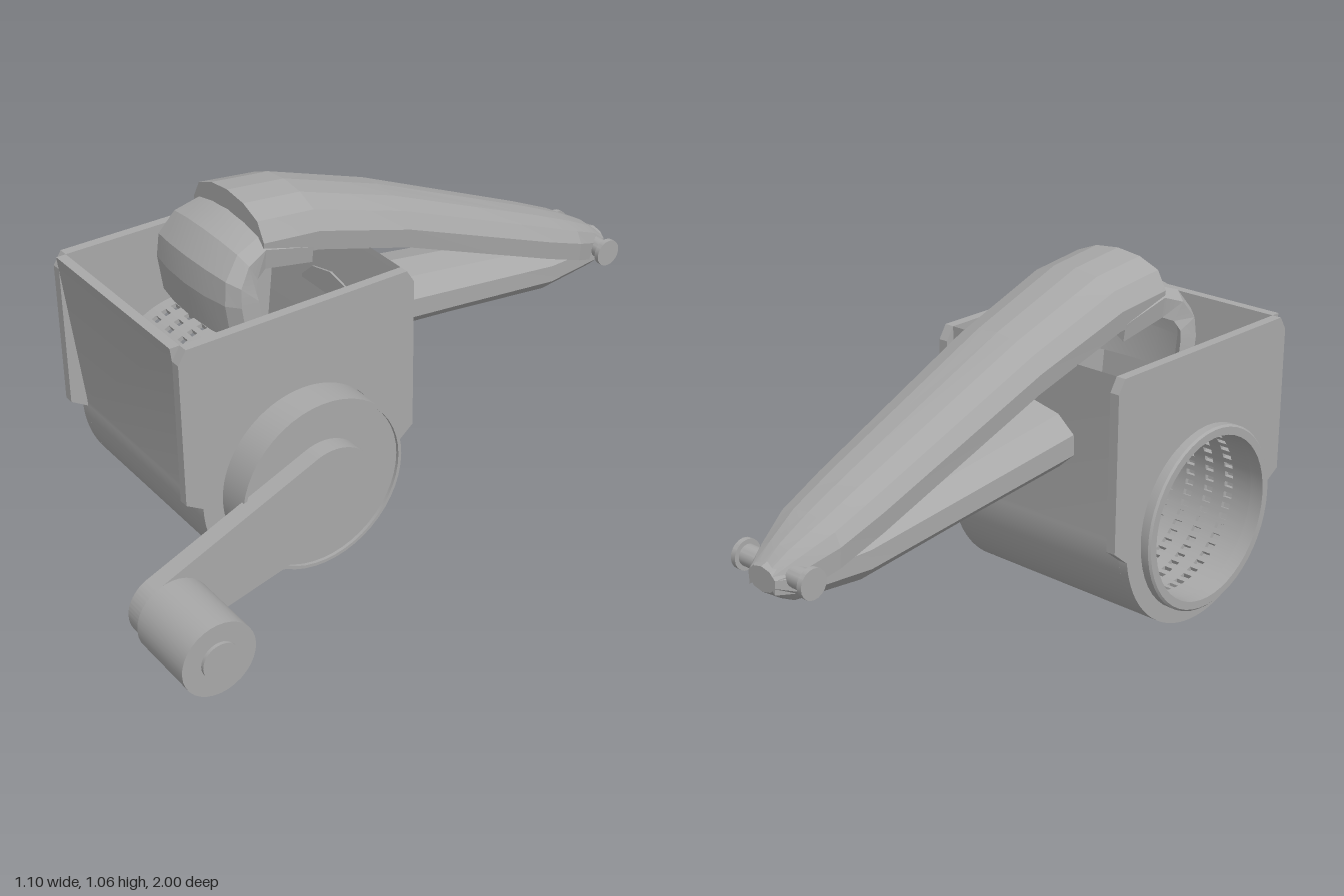
import * as THREE from 'three';
import { toCreasedNormals } from 'three/addons/utils/BufferGeometryUtils.js';

const CY = 0.328, CZ = 0.36;   // drum axis
const HX = -0.178;             // handle centre line

export function createModel() {
  const model = new THREE.Group();
  const metal = new THREE.MeshStandardMaterial({ color: 0xa8a8a8, side: THREE.DoubleSide });
  metal.name = 'grey metal';

  const add = (name, geometry, crease = 0.5) => {
    const mesh = new THREE.Mesh(toCreasedNormals(geometry, crease), metal);
    mesh.name = name;
    model.add(mesh);
    return mesh;
  };
  // extrude a (z, y) outline along x
  const extrudeX = (shape, x0, x1) =>
    new THREE.ExtrudeGeometry(shape, { depth: x1 - x0, bevelEnabled: false, curveSegments: 40 })
      .rotateY(-Math.PI / 2).translate(x1, 0, 0);
  // revolve an (r, x) profile around an axis parallel to x
  const latheX = (profile, y, z, seg = 48) =>
    new THREE.LatheGeometry(profile.map(p => new THREE.Vector2(...p)), seg)
      .rotateZ(-Math.PI / 2).translate(0, y, z);
  const rod = (r, x0, x1, y, z, seg = 32) =>
    latheX([[0, x0], [r, x0], [r, x1], [0, x1]], y, z, seg);
  // skin a row of rings, with end caps
  const loft = rings => {
    const pos = [], n = rings[0].length;
    const quad = (a, b, c, d) => [a, b, c, a, c, d].forEach(p => pos.push(...p));
    for (let s = 0; s < rings.length - 1; s++)
      for (let i = 0; i < n; i++) {
        const j = (i + 1) % n;
        quad(rings[s][i], rings[s][j], rings[s + 1][j], rings[s + 1][i]);
      }
    for (let i = 0; i < n / 2 - 1; i++) {
      const a = rings[0], b = rings[rings.length - 1];
      quad(a[i], a[n - 1 - i], a[n - 2 - i], a[i + 1]);
      quad(b[i], b[i + 1], b[n - 2 - i], b[n - 1 - i]);
    }
    const g = new THREE.BufferGeometry();
    g.setAttribute('position', new THREE.Float32BufferAttribute(pos, 3));
    return g;
  };

  // hopper and lower shell: flared U section
  const shell = new THREE.Shape();
  shell.moveTo(CZ - 0.385, 0.84);
  shell.absarc(CZ, CY, 0.328, Math.PI - 0.05, 2 * Math.PI + 0.05, false);
  shell.lineTo(CZ + 0.385, 0.84);
  shell.lineTo(CZ + 0.355, 0.84);
  shell.absarc(CZ, CY, 0.3, 0.05, Math.PI - 0.05, true);
  shell.lineTo(CZ - 0.355, 0.84);
  add('housingShell', extrudeX(shell, -0.48, 0.13));

  // side plates with drum opening
  const plate = new THREE.Shape();
  plate.moveTo(CZ - 0.355, 0.84);
  plate.lineTo(CZ - 0.38, 0.8);
  plate.lineTo(CZ - 0.38, 0.33);
  plate.lineTo(CZ - 0.325, 0.285);
  plate.absarc(CZ, CY, 0.328, Math.PI + 0.14, 2 * Math.PI, false);
  plate.lineTo(CZ + 0.38, 0.36);
  plate.lineTo(CZ + 0.38, 0.8);
  plate.lineTo(CZ + 0.355, 0.84);
  plate.holes.push(new THREE.Path().absarc(CZ, CY, 0.266, 0, 2 * Math.PI, true));
  for (const [name, x] of [['rightPlate', -0.51], ['leftPlate', 0.13]])
    add(name, extrudeX(plate, x, x + 0.03));

  // perforated drum: grid of cells, odd cells left open and given walls
  const drum = [];
  const xs = [-0.51];
  for (let c = 0; c < 8; c++) xs.push(-0.445 + c * 0.072, -0.415 + c * 0.072);
  xs.push(0.16);
  const at = (x, k, r) => {
    const a = k * Math.PI / 48;
    return [x, CY + r * Math.sin(a), CZ + r * Math.cos(a)];
  };
  const face = (a, b, c, d) => [a, b, c, a, c, d].forEach(p => drum.push(...p));
  const RO = 0.264, RI = 0.25;
  for (let c = 0; c < xs.length - 1; c++)
    for (let k = 0; k < 96; k++) {
      const x0 = xs[c], x1 = xs[c + 1];
      if (c % 2 && k % 2) {
        for (const x of [x0, x1]) face(at(x, k, RI), at(x, k + 1, RI), at(x, k + 1, RO), at(x, k, RO));
        for (const q of [k, k + 1]) face(at(x0, q, RI), at(x1, q, RI), at(x1, q, RO), at(x0, q, RO));
      } else {
        face(at(x0, k, RO), at(x0, k + 1, RO), at(x1, k + 1, RO), at(x1, k, RO));
        face(at(x0, k, RI), at(x1, k, RI), at(x1, k + 1, RI), at(x0, k + 1, RI));
      }
    }
  const drumGeo = new THREE.BufferGeometry();
  drumGeo.setAttribute('position', new THREE.Float32BufferAttribute(drum, 3));
  add('gratingDrum', drumGeo);
  add('drumRim', latheX([[0.25, -0.51], [0.264, -0.51], [0.264, -0.52], [0.28, -0.522],
    [0.28, -0.547], [0.274, -0.553], [0.25, -0.553], [0.25, -0.51]], CY, CZ));
  add('drumEnd', latheX([[0, 0.14], [0.265, 0.14], [0.265, 0.26], [0.255, 0.26],
    [0.255, 0.25], [0, 0.25]], CY, CZ));

  // crank arm: hull of two circles
  const KY = 0.16, KZ = 0.885, R1 = 0.14, R2 = 0.1;
  const dir = Math.atan2(KY - CY, KZ - CZ);
  const half = Math.acos((R1 - R2) / Math.hypot(KY - CY, KZ - CZ));
  const arm = new THREE.Shape();
  arm.absarc(CZ, CY, R1, dir + half, dir - half + 2 * Math.PI, false);
  arm.absarc(KZ, KY, R2, dir - half, dir + half, false);
  add('crankArm', extrudeX(arm, 0.25, 0.305));
  add('crankPin', rod(0.033, 0.3, 0.32, KY, KZ));
  add('crankKnob', rod(0.112, 0.316, 0.54, KY, KZ));
  add('knobCap', rod(0.055, 0.54, 0.55, KY, KZ));

  // arched band section: outer crest (z, y), half width, thickness, sag and normal
  const U = [-1, -0.83, -0.45, 0, 0.45, 0.83, 1];
  const SAG = [1, 0.4, 0.1, 0, 0.1, 0.4, 1];
  const band = ([z, y, hw, th, sag, nz = 0, ny = 1]) => {
    const line = (extra, w) => U.map((u, i) => {
      const d = sag * SAG[i] + extra;
      return [HX + u * hw * w, y - ny * d, z - nz * d];
    });
    return [...line(0, 1), ...line(th, 0.96).reverse()];
  };
  add('upperHandle', loft([
    [0.365, 1.06, 0.178, 0.06, 0.09],
    [0.18, 1.04, 0.175, 0.06, 0.09],
    [-0.14, 0.93, 0.163, 0.06, 0.08],
    [-0.7, 0.69, 0.133, 0.06, 0.07],
    [-0.84, 0.625, 0.12, 0.06, 0.06],
    [-0.94, 0.57, 0.08, 0.06, 0.05],
    [-1, 0.52, 0.05, 0.04, 0.015]].map(band)), 0.2);

  // food press curving down into the hopper
  add('press', loft([
    [0.2, 0.935, 0.17, 0.05, 0.03],
    [0.36, 1.0, 0.18, 0.06, 0.05],
    [0.45, 0.97, 0.195, 0.06, 0.05, 0.5, 0.87],
    [0.505, 0.9, 0.21, 0.06, 0.05, 0.87, 0.5],
    [0.515, 0.82, 0.215, 0.06, 0.05, 1, 0],
    [0.5, 0.71, 0.215, 0.06, 0.05, 1, 0]].map(band)), 0.2);

  // lower handle: ten-sided section
  add('lowerHandle', loft([
    [0.03, 0.495, 0.695, 0.145],
    [-0.35, 0.455, 0.64, 0.135],
    [-0.73, 0.405, 0.58, 0.115],
    [-0.94, 0.42, 0.55, 0.085],
    [-1, 0.46, 0.53, 0.05]].map(([z, y0, y1, hw]) =>
    Array.from({ length: 10 }, (_, i) => {
      const a = Math.PI - (i + 0.5) * Math.PI / 5;
      return [HX + hw * 1.05 * Math.cos(a), (y0 + y1) / 2 + (y1 - y0) / 2 * Math.sin(a), z];
    }))), 0.2);

  // hinge pin with two heads
  add('hingePin', rod(0.03, -0.3, -0.056, 0.505, -0.945, 20));
  for (const s of [-1, 1])
    add('hingeHead', rod(0.043, HX + s * 0.125 - 0.008, HX + s * 0.125 + 0.008, 0.505, -0.945, 20));

  return model;
}
